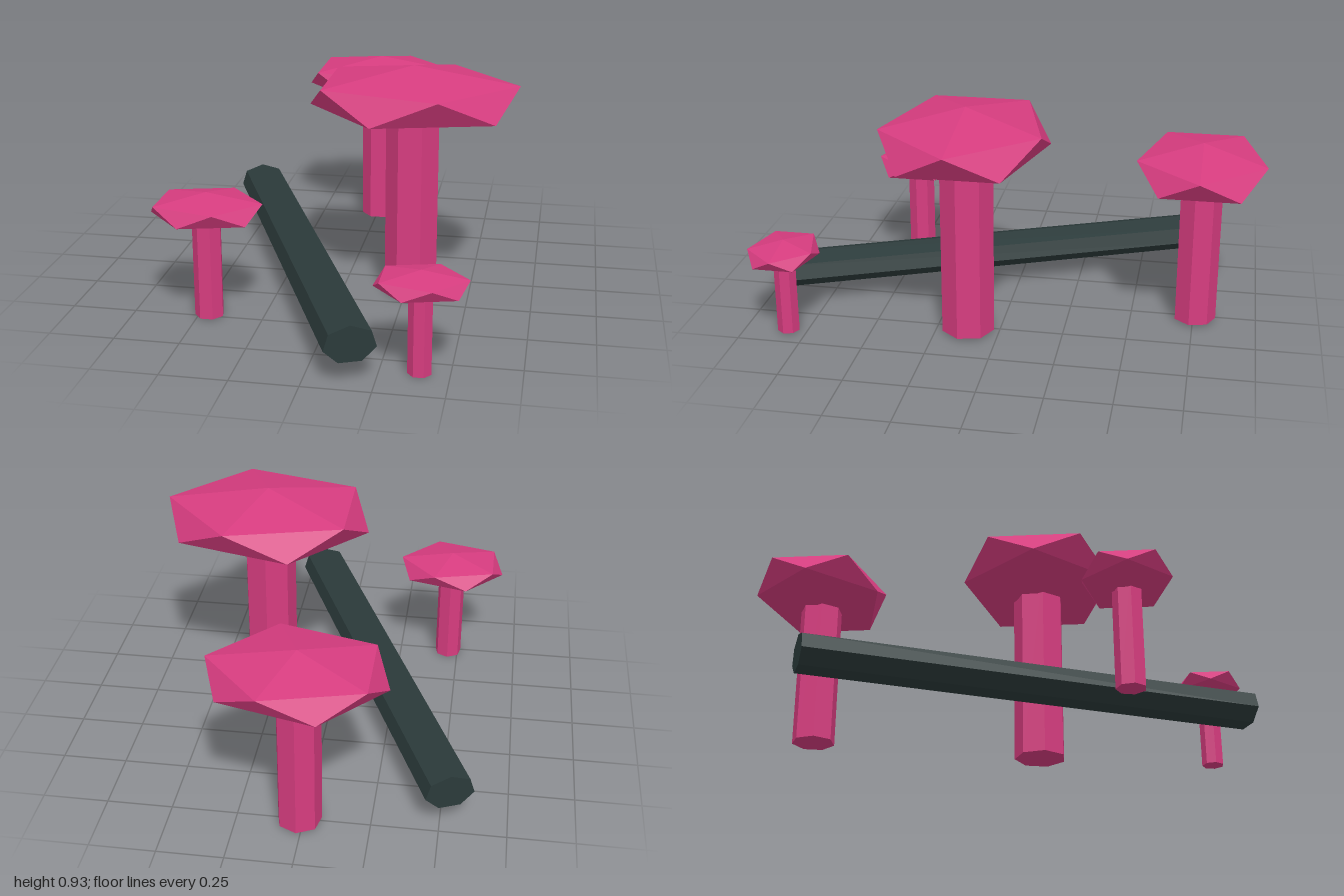
import * as THREE from 'three';
import { ConvexGeometry } from 'three/addons/geometries/ConvexGeometry.js';

const pink = new THREE.MeshStandardMaterial({ name: 'mushroom pink', color: 0xd63c7f, flatShading: true });
const darkWood = new THREE.MeshStandardMaterial({ name: 'dark wood', color: 0x2b3a3a, flatShading: true });

// Flattened twelve-point cap: a pole at each end and two staggered rings of five
function capGeometry(radius) {
  const height = radius * 0.291;
  const points = [new THREE.Vector3(0, height, 0), new THREE.Vector3(0, -height, 0)];
  for (let i = 0; i < 10; i++) {
    const a = (i * Math.PI) / 5;
    const side = i % 2 === 0 ? 1 : -1;
    points.push(new THREE.Vector3(
      Math.cos(a) * radius,
      side * height * 0.447,
      Math.sin(a) * radius * 0.8
    ));
  }
  return new ConvexGeometry(points);
}

// Seven-sided stem reaching into the middle of the cap
function createMushroom(name, x, z, radius, capY, base) {
  const mushroom = new THREE.Group();
  mushroom.name = name;
  mushroom.position.set(x, 0, z);

  const h = capY - base;
  const stemRadius = radius * 0.26;
  const stemGeometry = new THREE.CylinderGeometry(stemRadius, stemRadius, h, 7);
  stemGeometry.rotateY(Math.PI);
  const stem = new THREE.Mesh(stemGeometry, pink);
  stem.name = 'stem';
  stem.position.y = base + h / 2;

  const cap = new THREE.Mesh(capGeometry(radius), pink);
  cap.name = 'cap';
  cap.position.y = capY;

  mushroom.add(stem, cap);
  return mushroom;
}

// Flattened seven-sided log lying on a slant, ridge upwards
function createLog() {
  const geometry = new THREE.CylinderGeometry(0.097, 0.097, 1.803, 7);
  geometry.rotateX(-Math.PI / 2);
  geometry.scale(1, 0.735, 1);
  geometry.rotateY(Math.atan2(0.703, 1.66));
  const log = new THREE.Mesh(geometry, darkWood);
  log.name = 'log';
  log.position.set(-0.183, 0.149, 0.125);
  return log;
}

export function createModel() {
  const model = new THREE.Group();
  model.name = 'mushroomsAndLog';
  model.add(
    createLog(),
    createMushroom('largeMushroom', 0.27, 0.125, 0.403, 0.808, 0.006),
    createMushroom('backMushroom', 0.015, -0.755, 0.325, 0.653, 0.005),
    createMushroom('leftMushroom', -0.459, 0.483, 0.216, 0.433, 0.002),
    createMushroom('smallMushroom', 0.392, 0.827, 0.168, 0.338, 0)
  );
  return model;
}
